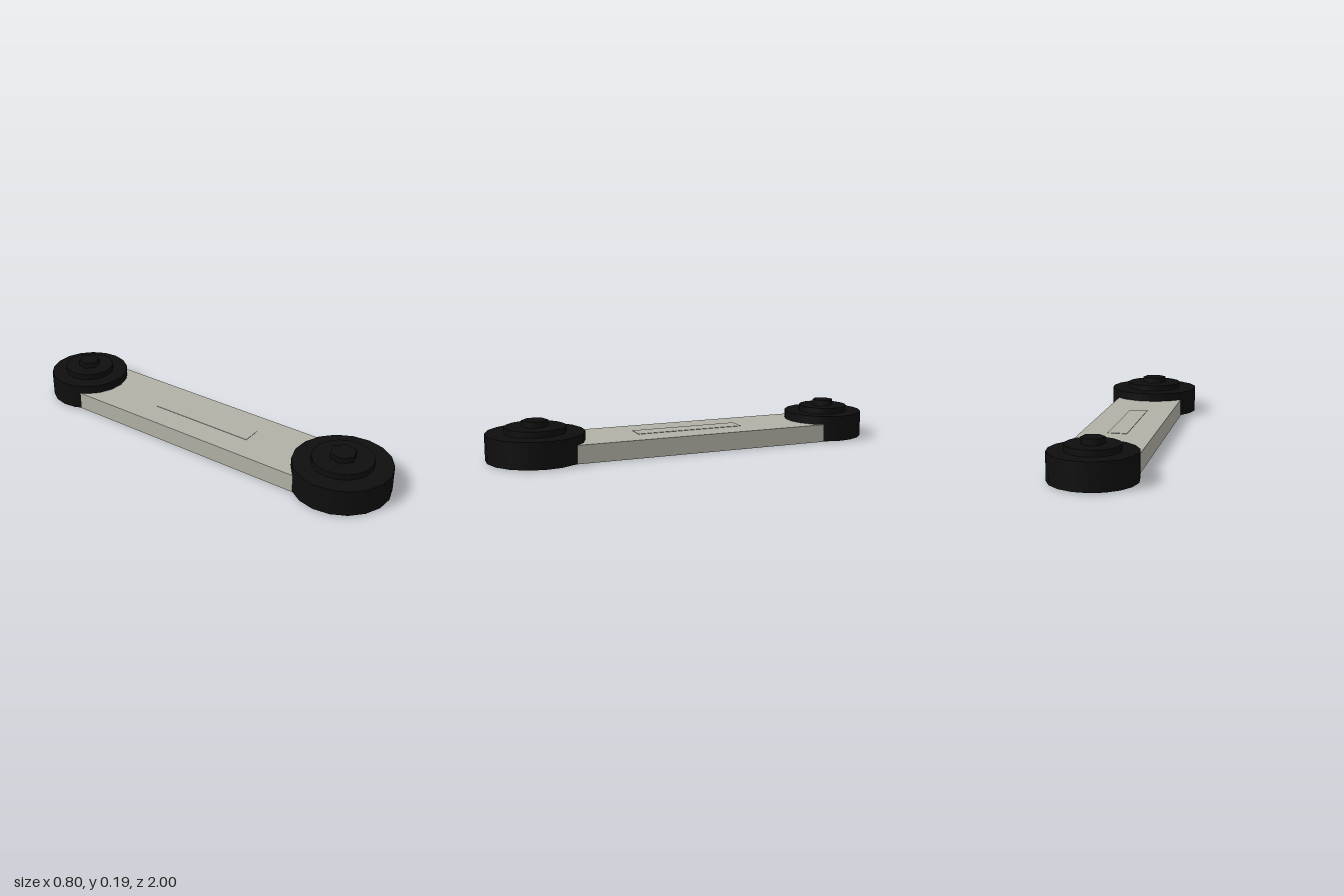
import * as THREE from 'three';

const grey = new THREE.MeshStandardMaterial({ color: 0xb2b1a6 });
grey.name = 'warm grey';
const black = new THREE.MeshStandardMaterial({ color: 0x0e0e0e });
black.name = 'black';

// Upright disc with its underside at y = bottom
function disc(name, radius, bottom, top, sides) {
  const geometry = new THREE.CylinderGeometry(radius, radius, top - bottom, sides);
  const mesh = new THREE.Mesh(geometry, black);
  mesh.position.y = (bottom + top) / 2;
  mesh.name = name;
  return mesh;
}

// Stepped hub: wide base, washer and hexagonal bolt head
function hub(name, x, z, radius) {
  const group = new THREE.Group();
  group.name = name;
  group.add(
    disc('hubBase', radius, 0.003, 0.135, 18),
    disc('washer', radius * 0.62, 0.135, 0.165, 18),
    disc('boltHead', radius * 0.27, 0.165, 0.195, 6),
  );
  group.position.set(x, 0, z);
  return group;
}

function slab(name, width, length, bottom, top) {
  const mesh = new THREE.Mesh(new THREE.BoxGeometry(width, top - bottom, length), grey);
  mesh.position.y = (bottom + top) / 2;
  mesh.name = name;
  return mesh;
}

export function createModel() {
  const model = new THREE.Group();
  model.name = 'linkArm';
  const front = { x: 0.161, z: 0.757 };
  const back = { x: -0.198, z: -0.795 };
  const dx = front.x - back.x, dz = front.z - back.z;

  // Arm running from hub centre to hub centre, with a thin plate on top
  const arm = new THREE.Group();
  arm.name = 'arm';
  arm.add(
    slab('armBar', 0.36, Math.hypot(dx, dz), 0, 0.092),
    slab('topPlate', 0.095, 0.565, 0.09, 0.094),
  );
  arm.position.set((front.x + back.x) / 2, 0, (front.z + back.z) / 2);
  arm.rotation.y = Math.atan2(dx, dz);

  model.add(arm, hub('frontHub', front.x, front.z, 0.243), hub('backHub', back.x, back.z, 0.205));
  return model;
}
